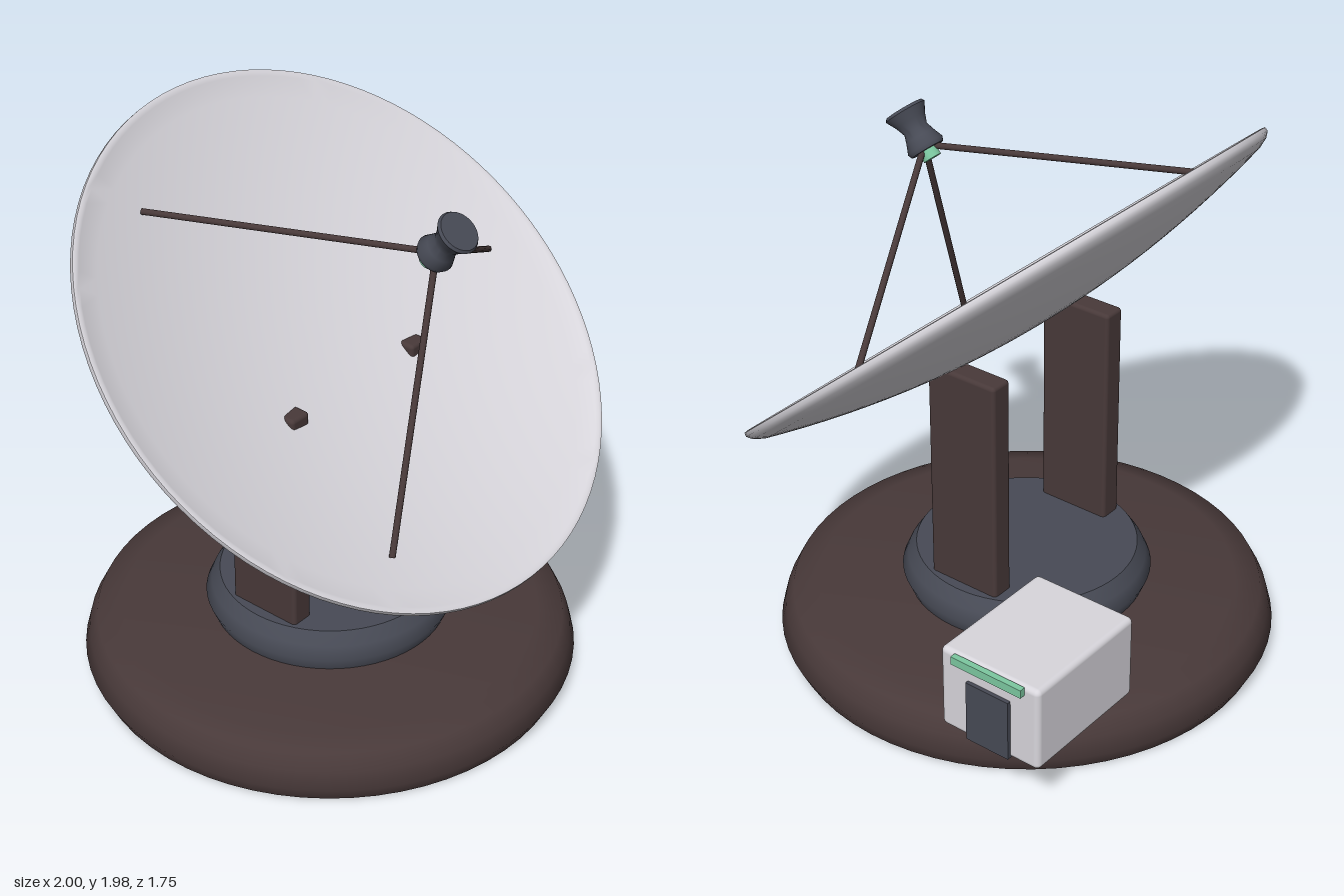
import * as THREE from 'three';
import { toCreasedNormals } from 'three/addons/utils/BufferGeometryUtils.js';
import { RoundedBoxGeometry } from 'three/addons/geometries/RoundedBoxGeometry.js';

const material = (name, color) => {
  const m = new THREE.MeshStandardMaterial({ color });
  m.name = name;
  return m;
};

export function createModel() {
  const model = new THREE.Group();
  model.name = 'satelliteDish';
  const white = material('pale grey', 0xd8d6dc);
  const brown = material('dark brown', 0x483939);
  const slate = material('slate', 0x474a55);
  const green = material('light green', 0x7cc8a0);

  const add = (name, geometry, mat, parent = model) => {
    const mesh = new THREE.Mesh(geometry, mat);
    mesh.name = name;
    parent.add(mesh);
    return mesh;
  };
  // Turned part from [radius, height] points, listed from the bottom up the outside
  const turned = (points, segments = 64, crease = 0.9) => toCreasedNormals(
    new THREE.LatheGeometry(points.map(([r, y]) => new THREE.Vector2(r, y)), segments), crease);
  const box = (name, size, pos, radius, mat) => {
    const geometry = radius ? new RoundedBoxGeometry(...size, 3, radius) : new THREE.BoxGeometry(...size);
    add(name, geometry, mat).position.set(...pos);
  };

  // Foundation and turntable
  add('base', turned([[0, 0], [0.85, 0], [0.877, 0.055], [0.86, 0.12], [0.83, 0.178], [0.74, 0.2], [0, 0.2]]), brown);
  add('turntable', turned([[0, 0.19], [0.415, 0.19], [0.44, 0.25], [0.42, 0.295], [0.39, 0.34], [0, 0.34]]), slate);

  // Twin pillars whose front top edges break through the dish
  for (const side of [-1, 1]) {
    box(side > 0 ? 'leftPillar' : 'rightPillar', [0.086, 0.86, 0.28], [side * 0.31, 0.732, 0], 0.014, brown);
  }

  // Equipment cabin with door and light strip
  box('cabin', [0.505, 0.312, 0.396], [0.594, 0.358, -0.51], 0.02, white);
  box('cabinDoor', [0.02, 0.225, 0.17], [0.85, 0.317, -0.512], 0, slate);
  box('cabinLight', [0.022, 0.03, 0.28], [0.857, 0.497, -0.514], 0, green);

  // Tilted reflector assembly, local +y points along the dish axis
  const head = new THREE.Group();
  head.name = 'dishAssembly';
  head.position.set(0, 1.335, 0.095);
  head.rotation.x = THREE.MathUtils.degToRad(40);
  model.add(head);

  // Shell: outer bowl, rounded rim, inner bowl
  const profile = [];
  const steps = 14;
  for (let i = 0; i <= steps; i++) {
    const r = i / steps;
    profile.push([r * 0.95, -0.185 + 0.137 * r * r]);
  }
  profile.push([0.985, -0.03], [1, -0.012], [0.998, 0.002], [0.985, 0.004]);
  for (let i = steps; i >= 0; i--) {
    const r = i / steps;
    profile.push([r * 0.975, -0.153 + 0.151 * r * r]);
  }
  add('dish', turned(profile, 96), white, head);

  // Three struts from the bowl to the feed
  const apex = new THREE.Vector3(0, 0.525, 0);
  for (let i = 0; i < 3; i++) {
    const a = i * Math.PI * 2 / 3;
    const foot = new THREE.Vector3(0.79 * Math.cos(a), -0.045, 0.79 * Math.sin(a));
    const dir = apex.clone().sub(foot);
    const strut = add('strut', new THREE.CylinderGeometry(0.011, 0.011, dir.length(), 10), brown, head);
    strut.position.copy(foot).add(apex).multiplyScalar(0.5);
    strut.quaternion.setFromUnitVectors(new THREE.Vector3(0, 1, 0), dir.normalize());
  }

  // Waisted feed horn with a small receiver facing the bowl
  add('feedHorn', turned([[0, 0.505], [0.06, 0.505], [0.066, 0.52], [0.052, 0.555], [0.043, 0.583],
    [0.055, 0.615], [0.074, 0.65], [0.068, 0.66], [0, 0.66]], 32), slate, head);
  add('receiver', new THREE.CylinderGeometry(0.032, 0.032, 0.04, 24), green, head).position.y = 0.492;

  return model;
}
